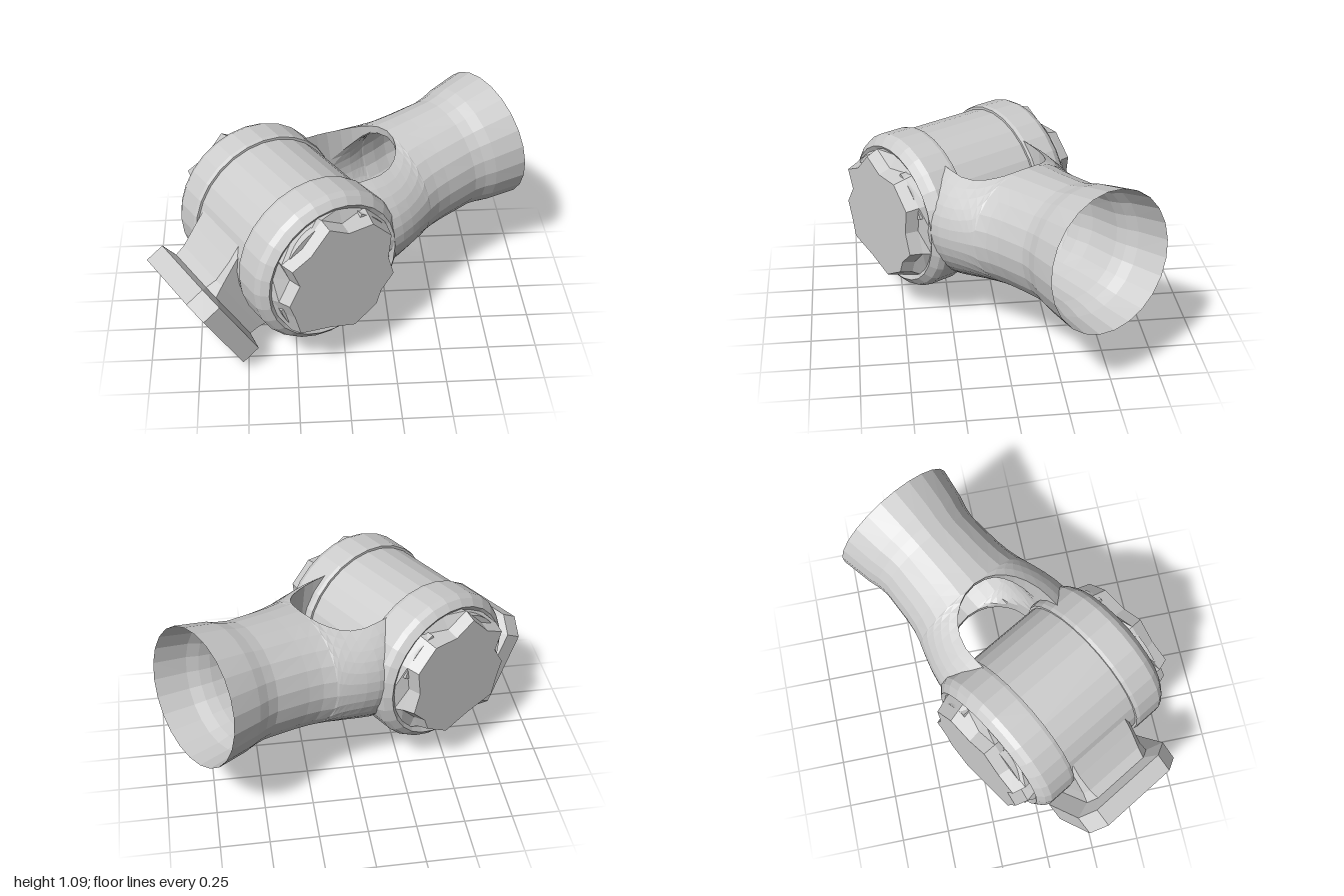
import * as THREE from 'three';

const material = new THREE.MeshStandardMaterial({ color: 0xcccccc, flatShading: true, side: THREE.DoubleSide });

function part(name, geometry, parent) {
  const mesh = new THREE.Mesh(geometry, material);
  mesh.name = name;
  parent.add(mesh);
  return mesh;
}

// Skin a series of closed rings of [x, y, z] points
function loft(rings) {
  const pos = [];
  for (let i = 0; i < rings.length - 1; i++) {
    const p = rings[i], q = rings[i + 1], n = p.length;
    for (let j = 0; j < n; j++) {
      const k = (j + 1) % n;
      pos.push(...p[j], ...p[k], ...q[k], ...p[j], ...q[k], ...q[j]);
    }
  }
  const g = new THREE.BufferGeometry();
  g.setAttribute('position', new THREE.Float32BufferAttribute(pos, 3));
  g.computeVertexNormals();
  return g;
}

// Turned shape around the z axis, from [radius, z] pairs
function turned(points, sides) {
  const g = new THREE.LatheGeometry(points.map(([r, z]) => new THREE.Vector2(r, z)), sides);
  return g.rotateX(Math.PI / 2);
}

// One end of the hinge: rim ring, uneven cap and raised arc tabs
function hingeEnd(name) {
  const end = new THREE.Group();
  end.name = name;
  part('rimRing', turned([[0.38, 0.22], [0.415, 0.22], [0.42, 0.24], [0.42, 0.375], [0.405, 0.405],
    [0.37, 0.435], [0.345, 0.42], [0, 0.42]], 28), end);

  const outline = [[0.28, 0.16], [0.17, 0.27], [0.03, 0.27], [-0.08, 0.33], [-0.185, 0.22], [-0.29, 0.17],
    [-0.25, 0.07], [-0.31, -0.03], [-0.28, -0.11], [-0.25, -0.22], [-0.08, -0.26], [0.07, -0.31],
    [0.2, -0.23], [0.225, -0.16], [0.3, -0.08], [0.265, 0.03]];
  const base = outline.map(([x, y]) => {
    const s = 0.355 / Math.hypot(x, y);
    return [x * s, y * s, 0.42];
  });
  const level = (scale, z) => outline.map(([x, y]) => [x * scale, y * scale, z]);
  part('cap', loft([base, level(1.07, 0.46), level(1, 0.525), level(0, 0.525)]), end);

  for (const [from, to] of [[20, 65], [112, 152], [195, 240]]) {
    const a = THREE.MathUtils.degToRad(from), b = THREE.MathUtils.degToRad(to);
    const arc = new THREE.Shape();
    arc.absarc(0, 0, 0.335, a, b, false);
    arc.absarc(0, 0, 0.27, b, a, true);
    const tab = part('capTab', new THREE.ExtrudeGeometry(arc, { depth: 0.05, bevelEnabled: false, curveSegments: 4 }), end);
    tab.position.z = 0.415;
  }
  return end;
}

// Half of the forked sleeve: a solid arm that opens into a half tube
function forkHalf() {
  // distance along the sleeve, outer half width, outer half height, inner half width, inner half height
  const stations = [
    [0.18, 0.39, 0.41, 0.25, 0.38], [0.25, 0.405, 0.39, 0.25, 0.36], [0.31, 0.415, 0.37, 0.25, 0.335],
    [0.37, 0.42, 0.355, 0.25, 0.315], [0.43, 0.415, 0.34, 0.25, 0.3], [0.5, 0.4, 0.325, 0.25, 0.285],
    [0.55, 0.385, 0.318, 0.25, 0.275], [0.59, 0.372, 0.314, 0.255, 0.272], [0.62, 0.362, 0.31, 0.26, 0.27],
    [0.64, 0.355, 0.31, 0.265, 0.27], [0.65, 0.35, 0.31, 0.265, 0.27], [0.72, 0.33, 0.31, 0.27, 0.275],
    [0.8, 0.318, 0.31, 0.285, 0.28], [0.98, 0.305, 0.312, 0.29, 0.298], [1.04, 0.313, 0.322, 0.303, 0.312],
    [1.1, 0.33, 0.338, 0.325, 0.333], [1.27, 0.36, 0.36, 0.358, 0.358]];
  const steps = 12;
  const rings = stations.map(([x, W, H, wi, hi]) => {
    // Half width of the round-ended window between the arms
    const t = Math.min(1, Math.max(0, (x - 0.38) / 0.27));
    const gap = 0.25 * Math.sqrt(1 - t * t);
    const limit = Math.acos(gap / W);
    const outer = [], inner = [];
    for (let i = 0; i <= steps; i++) {
      const a = limit * (1 - 2 * i / steps);
      outer.push([x, H * Math.sin(a), W * Math.cos(a)]);
      inner.unshift([x, hi * Math.sin(a), Math.max(gap, wi * Math.cos(a))]);
    }
    return [...outer, ...inner];
  });
  return loft(rings);
}

// Hollow, open-faced flange with clipped corners and its flared neck, pointing along +x
function mount() {
  const group = new THREE.Group();
  group.name = 'mount';
  const section = (x, s, w, c) => [[s, w - c], [s - c, w], [c - s, w], [-s, w - c],
    [-s, c - w], [c - s, -w], [s - c, -w], [s, c - w]].map(([y, z]) => [x, y, z]).reverse();
  part('mountFlange', loft([section(0.51, 0.23, 0.21, 0.05), section(0.53, 0.29, 0.3, 0.085),
    section(0.635, 0.29, 0.3, 0.085)]), group);
  part('mountNeck', loft([section(0.2, 0.33, 0.2, 0.02), section(0.34, 0.27, 0.2, 0.02),
    section(0.45, 0.23, 0.2, 0.03), section(0.51, 0.23, 0.21, 0.05)]), group);
  return group;
}

export function createModel() {
  const model = new THREE.Group();
  model.name = 'forkedHingeJoint';
  const joint = new THREE.Group();
  joint.name = 'joint';
  joint.rotation.y = Math.PI / 6;
  joint.position.set(-0.32 * Math.cos(Math.PI / 6), 0.56, 0.32 * Math.sin(Math.PI / 6));
  model.add(joint);

  // Barrel between the two hinge ends
  part('barrel', turned([[0, -0.3], [0.402, -0.3], [0.402, 0.3], [0, 0.3]], 28), joint);
  const front = hingeEnd('frontHingeEnd');
  const back = hingeEnd('backHingeEnd');
  back.scale.z = -1;
  joint.add(front, back);

  // Forked sleeve, raised slightly about the hinge
  const fork = new THREE.Group();
  fork.name = 'forkedSleeve';
  fork.rotation.z = 0.128;
  fork.position.z = 0.015;
  joint.add(fork);
  const half = forkHalf();
  part('frontForkHalf', half, fork);
  part('backForkHalf', half, fork).scale.z = -1;

  // Mount on the lower far side of the barrel
  const base = mount();
  base.rotation.z = Math.PI * 7 / 6;
  base.position.z = -0.02;
  joint.add(base);
  return model;
}
